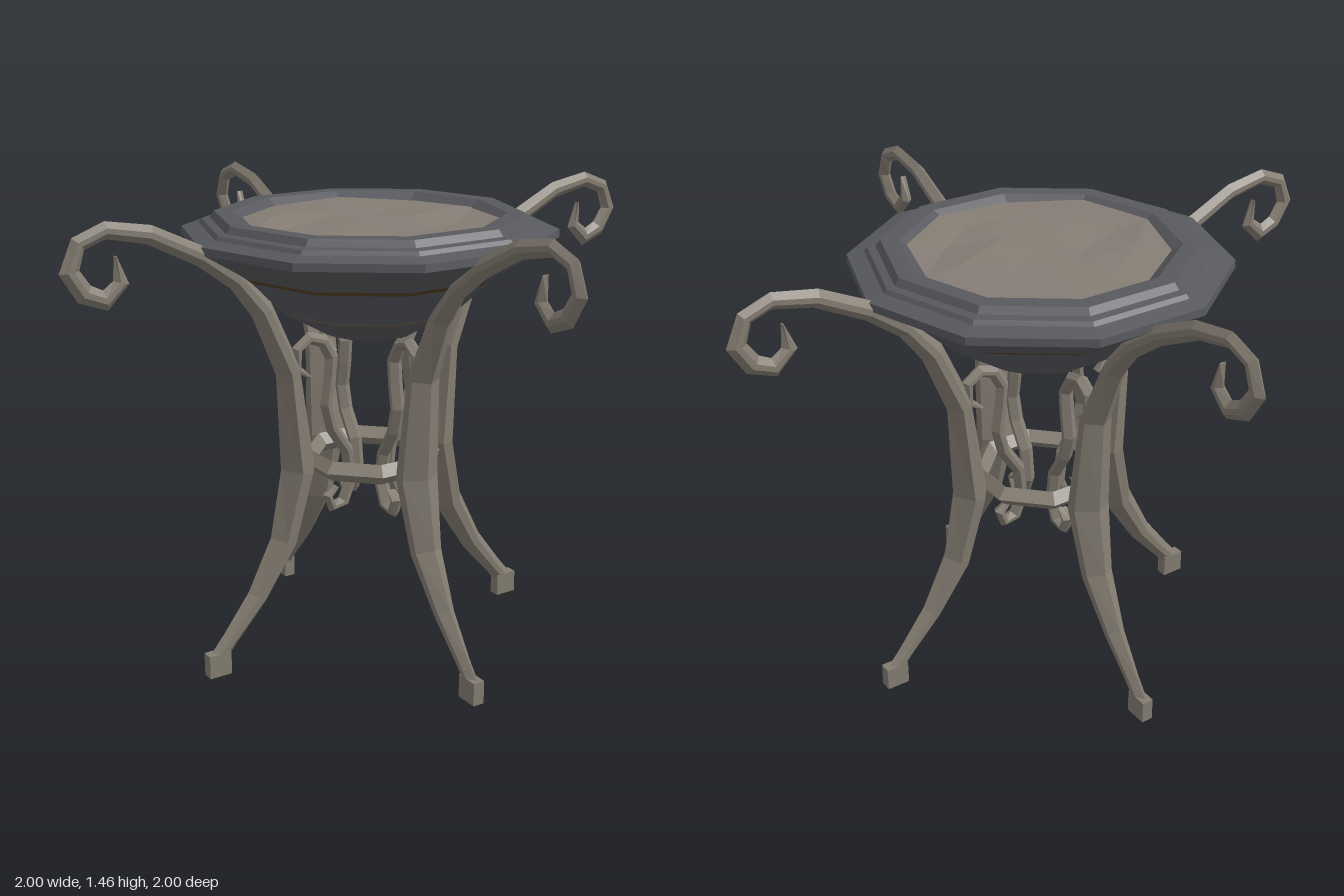
import * as THREE from 'three';

const flat = (name, color) =>
  new THREE.MeshStandardMaterial({ name, color, flatShading: true, side: THREE.DoubleSide });

// six-sided bar section, ridged on both edges: [across, sideways]
const SECTION = [[0.5, 0], [0.15, -0.5], [-0.15, -0.5], [-0.5, 0], [-0.15, 0.5], [0.15, 0.5]];

// sweeps the section along a path in the xy plane; each stop is [x, y, width, thickness]
function bar(path) {
  const pos = [], idx = [], n = SECTION.length, last = path.length - 1;
  path.forEach(([x, y, w, t], i) => {
    const a = path[Math.max(i - 1, 0)], b = path[Math.min(i + 1, last)];
    const dx = b[0] - a[0], dy = b[1] - a[1], len = Math.hypot(dx, dy);
    for (const [u, v] of SECTION) pos.push(x + (dy / len) * w * u, y - (dx / len) * w * u, t * v);
  });
  for (let i = 0; i < last; i++) {
    for (let j = 0; j < n; j++) {
      const a = i * n + j, b = i * n + (j + 1) % n;
      idx.push(a, b, a + n, b, b + n, a + n);
    }
  }
  for (let j = 1; j < n - 1; j++) {
    idx.push(0, j + 1, j, last * n, last * n + j, last * n + j + 1);
  }
  const g = new THREE.BufferGeometry();
  g.setAttribute('position', new THREE.Float32BufferAttribute(pos, 3));
  g.setIndex(idx);
  g.computeVertexNormals();
  return g;
}

// ten-sided turned part with a corner on the x axis
const turned = (points) =>
  new THREE.LatheGeometry(points.map((p) => new THREE.Vector2(...p)), 10, Math.PI / 2);

export function createModel() {
  const model = new THREE.Group();
  const iron = flat('taupe iron', 0x837c71);
  const stone = flat('dark bowl', 0x58595e);
  const ash = flat('ash', 0x857d74);
  const bronze = flat('brown band', 0x574224);
  const tan = flat('tan band', 0x6c6352);

  const add = (parent, name, geometry, material) => {
    const mesh = new THREE.Mesh(geometry, material);
    mesh.name = name;
    parent.add(mesh);
    return mesh;
  };

  // bowl, split where the coloured bands run round it
  const bowl = new THREE.Group();
  bowl.name = 'bowl';
  model.add(bowl);
  add(bowl, 'bowlBase', turned([[0, 1.03], [0.14, 1.035], [0.28, 1.113]]), stone);
  add(bowl, 'lowerBand', turned([[0.28, 1.113], [0.3, 1.125]]), tan);
  add(bowl, 'bowlSide', turned([[0.3, 1.125], [0.42, 1.235]]), stone);
  add(bowl, 'upperBand', turned([[0.42, 1.235], [0.444, 1.25]]), bronze);
  add(bowl, 'bowlRim', turned([
    [0.444, 1.25], [0.58, 1.335], [0.578, 1.358], [0.525, 1.37], [0.515, 1.382],
    [0.49, 1.386], [0.475, 1.406], [0.42, 1.406], [0.395, 1.39], [0.35, 1.36],
  ]), stone);

  // uneven ash surface
  const bed = turned([[0.4, 1.388], [0.28, 1.388], [0.14, 1.39], [0, 1.39]]);
  const p = bed.attributes.position;
  for (let i = 0; i < p.count; i++) {
    const x = p.getX(i), z = p.getZ(i);
    p.setY(i, p.getY(i) + 0.008 * Math.sin(17 * x + 5 * z) * Math.cos(13 * z - 9 * x));
  }
  add(bowl, 'ashBed', bed, ash);

  const legPath = [
    [0.57, 0.05, 0.06, 0.036], [0.52, 0.11, 0.06, 0.04], [0.42, 0.23, 0.075, 0.06],
    [0.32, 0.4, 0.1, 0.095], [0.266, 0.63, 0.12, 0.13], [0.295, 0.95, 0.085, 0.1],
    [0.38, 1.15, 0.075, 0.075], [0.46, 1.25, 0.065, 0.055], [0.57, 1.33, 0.06, 0.045],
    [0.73, 1.41, 0.055, 0.04], [0.86, 1.435, 0.05, 0.036], [0.94, 1.405, 0.05, 0.036],
    [0.97, 1.33, 0.06, 0.036], [0.93, 1.265, 0.06, 0.036], [0.87, 1.24, 0.06, 0.036],
    [0.82, 1.285, 0.05, 0.034], [0.834, 1.36, 0.006, 0.02],
  ];
  const scrollPath = [
    [0.125, 0.54, 0.008, 0.03], [0.158, 0.515, 0.035, 0.04], [0.142, 0.475, 0.04, 0.04],
    [0.1, 0.485, 0.045, 0.045], [0.073, 0.55, 0.045, 0.045], [0.085, 0.655, 0.045, 0.045],
    [0.14, 0.74, 0.045, 0.045], [0.16, 0.82, 0.045, 0.045], [0.147, 0.9, 0.045, 0.045],
    [0.14, 0.97, 0.045, 0.045], [0.17, 1.025, 0.045, 0.04], [0.22, 1.04, 0.04, 0.04],
    [0.262, 1.01, 0.04, 0.04], [0.263, 0.945, 0.035, 0.04], [0.215, 0.915, 0.008, 0.03],
  ];
  const legGeo = bar(legPath), scrollGeo = bar(scrollPath);
  const footGeo = new THREE.BoxGeometry(0.075, 0.075, 0.038);

  // four legs, each with a foot and an inner scroll
  ['left', 'back', 'right', 'front'].forEach((side, i) => {
    const support = new THREE.Group();
    support.name = side + 'Support';
    support.rotation.y = (i * Math.PI) / 2;
    add(support, side + 'Leg', legGeo, iron);
    add(support, side + 'Foot', footGeo, iron).position.set(0.565, 0.0375, 0);
    add(support, side + 'Scroll', scrollGeo, iron);
    model.add(support);
  });

  // ring tying the legs together
  const ring = add(model, 'ring', new THREE.TorusGeometry(0.2, 0.032, 4, 8), iron);
  ring.geometry.rotateX(Math.PI / 2).rotateY(Math.PI / 8);
  ring.position.y = 0.625;

  return model;
}
